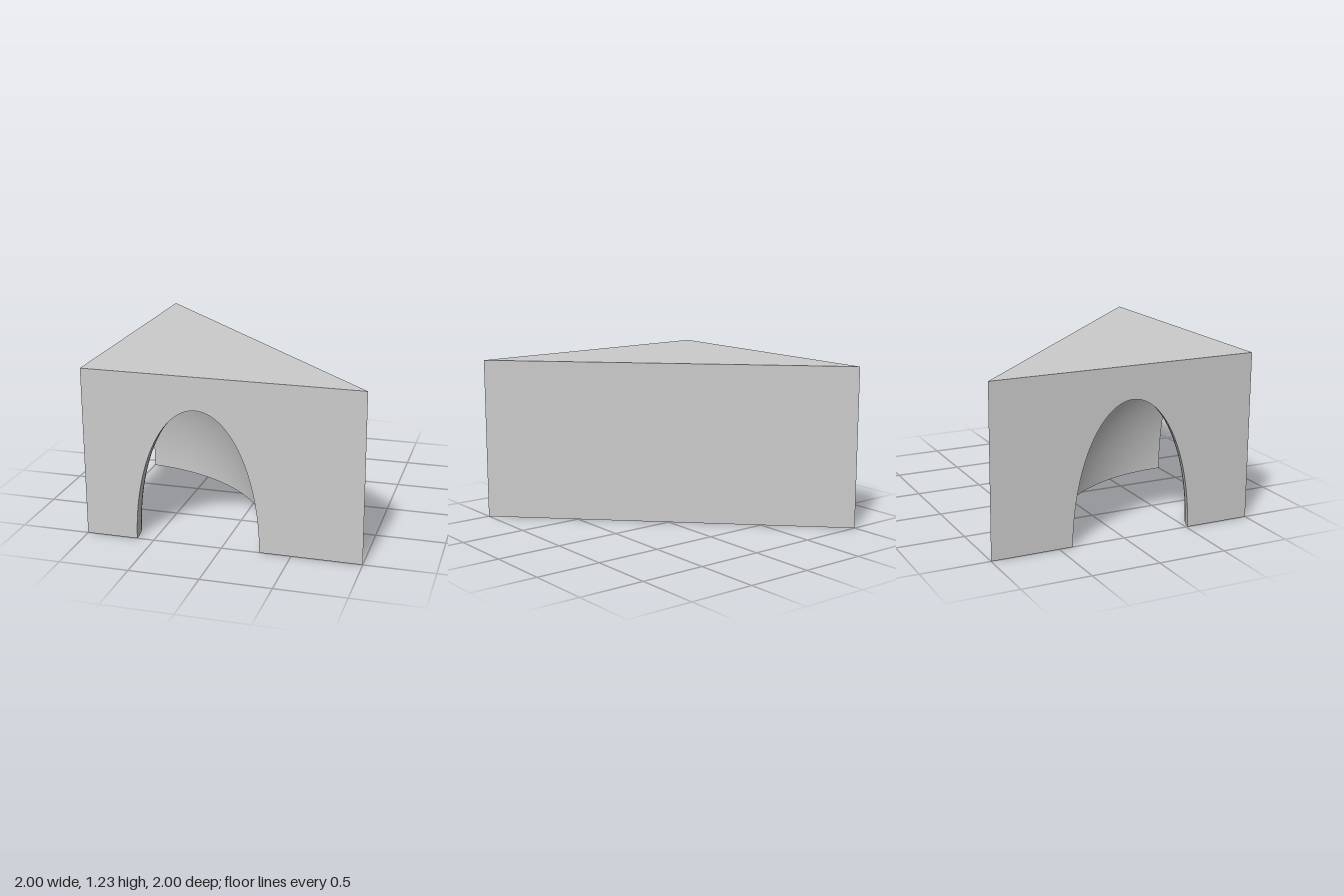
import * as THREE from 'three';
import { ParametricGeometry } from 'three/addons/geometries/ParametricGeometry.js';

const H = 1.23;            // block height
const CX = -1.13, CZ = 1;  // centre of the tunnel's bend
const R = 0.955, HALF = 0.449, ARCH = 0.993; // bend radius, half width and height of the arch
const STEPS = 64;

// Arch profile: distance from the bend's centre and height, t from 0 (outer foot) to PI (inner foot)
const radius = t => R + HALF * Math.cos(t);
const height = t => ARCH * Math.sin(t);
// Angle at which a ring of radius r leaves through the side wall x = -1
const sweep = r => Math.acos((-1 - CX) / r);
const onRing = (r, f) => {
  const a = sweep(r) * f;
  return new THREE.Vector2(CX + r * Math.cos(a), CZ - r * Math.sin(a));
};
const range = fn => Array.from({ length: STEPS + 1 }, (_, i) => fn(i / STEPS));

export function createModel() {
  const group = new THREE.Group();
  const material = new THREE.MeshStandardMaterial({ color: 0xcccccc });
  const add = (name, geometry) => {
    const mesh = new THREE.Mesh(geometry, material);
    mesh.name = name;
    group.add(mesh);
    return mesh;
  };
  const flat = points => new THREE.ShapeGeometry(new THREE.Shape(points));
  const v2 = (x, y) => new THREE.Vector2(x, y);

  // Upright wall with an arched opening; along(t) gives the horizontal place of the arch edge
  const archedWall = along => flat([
    v2(-1, 0), v2(-1, H), v2(1, H), v2(1, 0),
    ...range(f => v2(along(f * Math.PI), Math.max(0, height(f * Math.PI)))),
  ]);
  add('frontWall', archedWall(t => onRing(radius(t), 0).x)).position.z = 1;

  // On the side wall the outer foot lies at the back, so the arch runs the other way
  const side = add('sideWall', archedWall(t => onRing(radius(Math.PI - t), 1).y));
  side.rotation.y = -Math.PI / 2;
  side.position.x = -1;

  // Solid diagonal wall
  const diagonal = add('diagonalWall', new THREE.PlaneGeometry(2 * Math.SQRT2, H));
  diagonal.rotation.y = 3 * Math.PI / 4;
  diagonal.position.y = H / 2;

  // Triangular top
  const top = add('top', flat([v2(-1, -1), v2(1, -1), v2(-1, 1)]));
  top.rotation.x = -Math.PI / 2;
  top.position.y = H;

  // Undersides: corner pillar and the strip behind the tunnel
  const pillar = add('pillarBase', flat([v2(-1, 1), ...range(f => onRing(R - HALF, f))]));
  const strip = add('outerBase', flat([
    v2(-1, -1), v2(1, 1), ...range(f => onRing(R + HALF, f)),
  ]));
  pillar.rotation.x = strip.rotation.x = Math.PI / 2;

  // Curved tunnel: the arch swept around the bend
  add('tunnel', new ParametricGeometry((u, v, target) => {
    const t = u * Math.PI, p = onRing(radius(t), v);
    target.set(p.x, height(t), p.y);
  }, STEPS, STEPS));

  return group;
}
